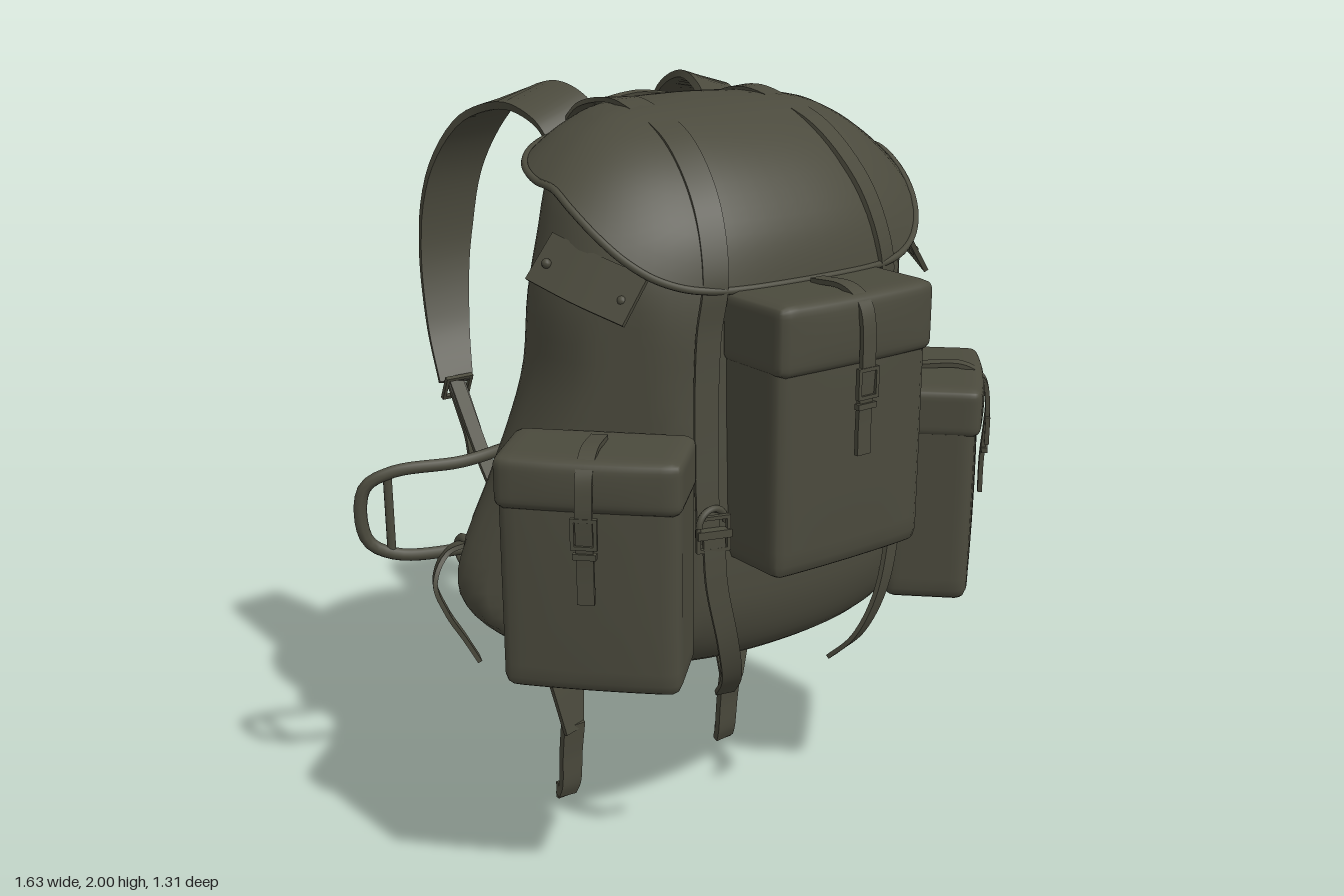
import * as THREE from 'three';
import { mergeVertices } from 'three/addons/utils/BufferGeometryUtils.js';

const canvas = new THREE.MeshStandardMaterial({ color: 0x4b4a3d, side: THREE.DoubleSide });
canvas.name = 'olive canvas';
const V = (p) => new THREE.Vector3(...p);
const SIDES = [1, -1];
const flip = (pts, s) => pts.map(([x, y, z]) => [x * s, y, z]);

// Sack cross-sections: height, half width, front z, back z, z of the widest point
const ROWS = [
  [0.600, 0.00, 0.05, -0.05, -0.01], [0.605, 0.34, 0.24, -0.17, -0.02], [0.63, 0.49, 0.33, -0.22, -0.03],
  [0.68, 0.60, 0.39, -0.25, -0.03], [0.78, 0.69, 0.43, -0.27, -0.03], [0.88, 0.70, 0.44, -0.27, -0.03],
  [1.12, 0.60, 0.44, -0.255, 0.00], [1.35, 0.535, 0.43, -0.22, 0.05], [1.55, 0.52, 0.42, -0.22, 0.08],
  [1.70, 0.48, 0.39, -0.23, 0.08], [1.80, 0.445, 0.33, -0.23, 0.06], [1.88, 0.39, 0.25, -0.22, 0.04],
  [1.94, 0.31, 0.15, -0.185, 0.02], [1.968, 0.21, 0.06, -0.13, 0.00], [1.98, 0.00, -0.03, -0.03, -0.03],
];
const slope = (i, k) => {
  const a = ROWS[Math.max(i - 1, 0)], b = ROWS[Math.min(i + 1, ROWS.length - 1)];
  return (b[k] - a[k]) / (b[0] - a[0]);
};
function section(y) {
  let i = 0;
  while (i < ROWS.length - 2 && y > ROWS[i + 1][0]) i++;
  const p = ROWS[i], q = ROWS[i + 1], d = q[0] - p[0];
  const t = THREE.MathUtils.clamp((y - p[0]) / d, 0, 1);
  const edge = i === 0 || i === ROWS.length - 2;
  return [1, 2, 3, 4].map((k) => {
    if (edge) return p[k] + (q[k] - p[k]) * t;
    const h = t * t * (3 - 2 * t);
    return p[k] + (q[k] - p[k]) * h + d * (slope(i, k) * t * (1 - t) ** 2 - slope(i + 1, k) * t * t * (1 - t));
  });
}
const POWER = 2.2;
const CORNER = 0.71; // front corners are pressed flat behind the side pockets
function sackPoint(angle, y, out = 0) {
  const [a, zf, zb, zc] = section(y);
  const c = Math.cos(angle), s = Math.sin(angle);
  const x = Math.abs(c) ** (2 / POWER) * (a + out);
  const z = zc + Math.sign(s) * Math.abs(s) ** (2 / POWER) * ((s > 0 ? zf - zc : zc - zb) + out);
  const press = Math.max(0, x + z - CORNER - out) / 2;
  // back corners slope towards the side points
  const back = Math.max(z - press, Math.min(-0.02, 0.47 * x - 0.40 - out));
  return [Math.sign(c) * (x - press), y, back];
}
function frontZ(x, y) {
  const [a, zf, , zc] = section(y);
  return Math.min(CORNER - x, zc + (zf - zc) * Math.max(0, 1 - (x / a) ** POWER) ** (1 / POWER));
}

// Surface from a rule over u and v
function grid(nu, nv, rule) {
  const pos = [], idx = [];
  for (let j = 0; j <= nv; j++) for (let i = 0; i <= nu; i++) pos.push(...rule(i / nu, j / nv));
  for (let j = 0; j < nv; j++) for (let i = 0; i < nu; i++) {
    const a = j * (nu + 1) + i, b = a + nu + 1;
    idx.push(a, b, a + 1, a + 1, b, b + 1);
  }
  let g = new THREE.BufferGeometry();
  g.setAttribute('position', new THREE.Float32BufferAttribute(pos, 3));
  g.setIndex(idx);
  g = mergeVertices(g, 1e-5);
  g.computeVertexNormals();
  return g;
}

// Flat webbing along a path; widths are spread evenly along it
function ribbon(pts, widths, across = [1, 0, 0], thick = 0.012) {
  const curve = new THREE.CatmullRomCurve3(pts.map(V)), n = pts.length * 5;
  const g = new THREE.BoxGeometry(1, thick, 1, 1, 1, n), p = g.attributes.position, side0 = V(across);
  for (let i = 0; i < p.count; i++) {
    const t = THREE.MathUtils.clamp(p.getZ(i) + 0.5, 0, 1), T = curve.getTangent(t);
    const side = side0.clone().addScaledVector(T, -side0.dot(T)).normalize();
    const N = T.clone().cross(side), f = t * (widths.length - 1), k = Math.min(Math.floor(f), widths.length - 2);
    const w = THREE.MathUtils.lerp(widths[k], widths[k + 1], f - k);
    const q = curve.getPoint(t).addScaledVector(side, p.getX(i) * w).addScaledVector(N, p.getY(i));
    p.setXYZ(i, q.x, q.y, q.z);
  }
  g.computeVertexNormals();
  return g;
}

const tube = (pts, r = 0.017, closed = false) =>
  new THREE.TubeGeometry(new THREE.CatmullRomCurve3(pts.map(V), closed), pts.length * 8, r, 8, closed);

// Rounded, softly bulging box
function cushion(w, h, d, r = 0.03, bulge = 0.015) {
  let g = new THREE.BoxGeometry(2, 2, 2, 12, 12, 10);
  g.deleteAttribute('normal');
  g.deleteAttribute('uv');
  g = mergeVertices(g);
  const p = g.attributes.position, half = new THREE.Vector3(w / 2, h / 2, d / 2), inner = half.clone().subScalar(r);
  for (let i = 0; i < p.count; i++) {
    const v = new THREE.Vector3().fromBufferAttribute(p, i);
    const e = new THREE.Vector3(...v.toArray().map((c) => Math.sign(c) * Math.abs(c) ** 0.6)).multiply(half);
    const c = e.clone().clamp(inner.clone().negate(), inner);
    e.sub(c).normalize().multiplyScalar(r).add(c);
    const fx = 1 - (e.x / half.x) ** 2, fy = 1 - (e.y / half.y) ** 2;
    p.setXYZ(i, e.x, e.y, e.z + (e.z > 0 ? bulge * fx * (0.5 + fy / 2) : 0));
  }
  g.computeVertexNormals();
  return g;
}

function buckleGeometry(w, h) {
  const rect = (C, a, b) => new C([[-a, -b], [a, -b], [a, b], [-a, b]].map(([x, y]) => new THREE.Vector2(x, y)));
  const s = rect(THREE.Shape, w / 2, h / 2);
  s.holes.push(rect(THREE.Path, w / 2 - 0.009, h / 2 - 0.009));
  return new THREE.ExtrudeGeometry(s, { depth: 0.012, bevelEnabled: false });
}

function add(parent, name, geometry, at = [0, 0, 0]) {
  const m = new THREE.Mesh(geometry, canvas);
  m.name = name;
  m.position.set(...at);
  parent.add(m);
  return m;
}

// Pocket with its front face at z = 0 and its base at y = 0
function pocket(name, w, h, d, lidH) {
  const g = new THREE.Group();
  g.name = name;
  add(g, 'pocketBody', cushion(w - 0.01, h - 0.02, d - 0.01), [0, h / 2 - 0.01, -d / 2 - 0.006]);
  add(g, 'pocketLid', cushion(w, lidH, d + 0.005, 0.025), [0, h - lidH / 2, -d / 2]);
  const y = h - lidH;
  add(g, 'pocketStrap', ribbon([[0, h + 0.004, -d * 0.7], [0, h + 0.006, -0.04], [0, h - 0.03, 0.014], [0, y + 0.03, 0.028],
    [0, y - 0.03, 0.026], [0, y - 0.12, 0.02], [0, y - 0.21, 0.02]], [0.04, 0.04]));
  add(g, 'pocketBuckle', buckleGeometry(0.062, 0.075), [0, y - 0.035, 0.024]);
  add(g, 'buckleKeeper', new THREE.BoxGeometry(0.055, 0.014, 0.016), [0, y - 0.09, 0.026]);
  return g;
}

export function createModel() {
  const pack = new THREE.Group();
  pack.name = 'backpack';
  const turn = (u) => u * Math.PI * 2 - Math.PI / 2;

  // Sack
  add(pack, 'sack', grid(80, 48, (u, v) => sackPoint(turn(u), 1.29 - 0.69 * Math.cos(v * Math.PI))));

  // Top flap, hanging low in front and flaring at the sides
  const lidEdge = (a) => {
    const s = Math.sin(a);
    return s > 0 ? 1.83 - 0.23 * THREE.MathUtils.smoothstep(s, 0.05, 0.95) : 1.83 + 0.06 * Math.min(1, -s * 1.5);
  };
  const lidPoint = (a, v) => {
    const lo = lidEdge(a), y = lo + (1.98 - lo) * Math.sin(v * Math.PI / 2);
    const flare = 0.02 + 0.06 * Math.cos(a) ** 2 * (1 - v) ** 2;
    const p = sackPoint(a, y, flare * Math.min(1, (1 - v) * 6));
    return [p[0], p[1] + 0.01 * v, p[2]];
  };
  add(pack, 'topFlap', grid(72, 20, (u, v) => lidPoint(turn(u), v)));
  add(pack, 'flapPiping', tube(Array.from({ length: 40 }, (_, i) => lidPoint(turn(i / 40), 0)), 0.009, true));

  // Pockets
  const mid = pocket('frontPocket', 0.47, 0.66, 0.22, 0.17);
  mid.position.set(0, 0.94, 0.61);
  pack.add(mid);

  for (const s of SIDES) {
    const sidePocket = pocket('sidePocket', 0.435, 0.58, 0.225, 0.13);
    sidePocket.position.set(0.62 * s, 0.69, 0.4);
    sidePocket.rotation.y = 0.8 * s;
    pack.add(sidePocket);

    // Flat riveted side tab
    add(pack, 'sideTab', ribbon(flip([[0.52, 1.66, 0.075], [0.485, 1.625, 0.21], [0.435, 1.59, 0.34]], s), [0.125, 0.125], [-0.07 * s, 0.1, 0]));
    for (const at of [[0.525, 1.65, 0.11], [0.453, 1.59, 0.31]])
      add(pack, 'rivet', new THREE.SphereGeometry(0.012, 10, 8), [at[0] * s, at[1], at[2]]);

    // Closing strap over the flap, with buckle and tail
    const over = [[0.225, 1.89, -0.23], [0.21, 1.955, -0.17], [0.2, 1.982, -0.05], [0.205, 1.962, 0.07]];
    for (const [x, y] of [[0.215, 1.92], [0.23, 1.84], [0.245, 1.75], [0.262, 1.62], [0.275, 1.5], [0.285, 1.3], [0.29, 1.1], [0.29, 1.0]])
      over.push([x, y, frontZ(x, y) + (y > 1.6 ? 0.034 : 0.016)]);
    add(pack, 'closingStrap', ribbon(flip(over, s), [0.07, 0.07, 0.06, 0.055], [1, 0, -0.35 * s]));
    add(pack, 'strapBuckle', buckleGeometry(0.085, 0.09), [0.29 * s, 1.03, 0.435]).rotation.y = 0.3 * s;
    add(pack, 'buckleRoller', new THREE.BoxGeometry(0.085, 0.02, 0.025), [0.29 * s, 1.03, 0.44]).rotation.y = 0.3 * s;
    add(pack, 'buckleLoop', new THREE.TorusGeometry(0.04, 0.009, 6, 16, Math.PI), [0.29 * s, 1.05, 0.435]);
    add(pack, 'closingStrapTail', ribbon(flip([[0.29, 1.02, 0.44], [0.285, 0.9, 0.445], [0.25, 0.74, 0.445], [0.21, 0.62, 0.41], [0.18, 0.545, 0.345]], s),
      [0.055, 0.05], [1, 0, -0.3 * s]));

    // Shoulder strap, adjuster and lower webbing
    add(pack, 'shoulderStrap', ribbon(flip([[0.235, 1.88, -0.19], [0.25, 1.94, -0.25], [0.275, 1.968, -0.35], [0.31, 1.915, -0.5],
      [0.35, 1.765, -0.61], [0.375, 1.56, -0.645], [0.40, 1.35, -0.605], [0.425, 1.2, -0.53]], s), [0.155, 0.155, 0.15, 0.09], [1, -0.28 * s, -0.15 * s], 0.02));
    add(pack, 'adjuster', buckleGeometry(0.08, 0.07), [0.425 * s, 1.19, -0.53]).rotation.x = 0.45;
    add(pack, 'adjusterTail', ribbon(flip([[0.425, 1.24, -0.56], [0.42, 1.12, -0.49], [0.415, 1.06, -0.465], [0.41, 1.0, -0.46]], s), [0.05, 0.05]));
    add(pack, 'lowerWebbing', ribbon(flip([[0.425, 1.2, -0.53], [0.42, 1.02, -0.41], [0.41, 0.9, -0.335], [0.41, 0.82, -0.30]], s), [0.04, 0.04]));

    // Hip strap with narrow end
    add(pack, 'hipStrap', ribbon(flip([[0.33, 0.88, -0.40], [0.33, 0.76, -0.37], [0.31, 0.60, -0.28], [0.295, 0.45, -0.235], [0.28, 0.23, -0.21]], s),
      [0.12, 0.13, 0.16, 0.15, 0.07], [1, 0, 0.25 * s]));
    add(pack, 'hipStrapEnd', ribbon(flip([[0.28, 0.25, -0.215], [0.28, 0.15, -0.23], [0.28, 0.05, -0.24], [0.285, 0.012, -0.255]], s), [0.068, 0.06], [1, 0, 0], 0.02));
    add(pack, 'hipStrapClip', buckleGeometry(0.055, 0.05), [0.285 * s, 0.03, -0.262]);

    // Frame tie, wrapped round the bar, and its hanging end
    add(pack, 'frameTie', new THREE.TorusGeometry(0.035, 0.012, 6, 16), [0.56 * s, 0.82, -0.28]).rotation.y = Math.PI / 2;
    add(pack, 'frameTieTail', ribbon(flip([[0.54, 0.85, -0.26], [0.61, 0.83, -0.28], [0.66, 0.76, -0.265], [0.64, 0.68, -0.25],
      [0.59, 0.59, -0.25], [0.555, 0.52, -0.24]], s), [0.06, 0.06, 0.04], [0.5 * s, 0.2, 1]));

    // Strut closing the end of the frame loop
    add(pack, 'loopStrut', tube([[0.73 * s, 1.05, -0.36], [0.73 * s, 0.94, -0.36], [0.73 * s, 0.83, -0.36]], 0.012));
  }

  // Tubular frame: wide looped bar and A-shaped upright
  const loop = [[0.25, 1.07, -0.33], [0.4, 1.07, -0.30], [0.55, 1.06, -0.295], [0.72, 1.05, -0.355], [0.785, 1.01, -0.385],
    [0.785, 0.87, -0.385], [0.72, 0.825, -0.355], [0.55, 0.82, -0.295], [0.4, 0.82, -0.30], [0.25, 0.82, -0.33]];
  add(pack, 'frameLoop', tube([...loop, ...flip(loop, -1).reverse()], 0.017, true));
  const leg = [[0.32, 0.82, -0.32], [0.27, 1.07, -0.33], [0.21, 1.35, -0.325], [0.15, 1.62, -0.30], [0.10, 1.80, -0.26]];
  add(pack, 'frameUpright', tube([...leg, [0, 1.84, -0.25], ...flip(leg, -1).reverse()]));

  // Yoke between the shoulder straps and the lumbar band
  add(pack, 'yoke', ribbon([[-0.25, 1.84, -0.25], [-0.12, 1.89, -0.27], [0, 1.90, -0.275], [0.12, 1.89, -0.27], [0.25, 1.84, -0.25]],
    [0.1, 0.14, 0.1], [0, 1, 0.2], 0.02));
  const band = [[0.38, 0.85, -0.31], [0.33, 0.85, -0.365], [0.2, 0.85, -0.405]];
  add(pack, 'lumbarBand', ribbon([...band, [0, 0.85, -0.415], ...flip(band, -1).reverse()], [0.09, 0.13, 0.09], [0, 0.65, -0.75], 0.015));
  return pack;
}
